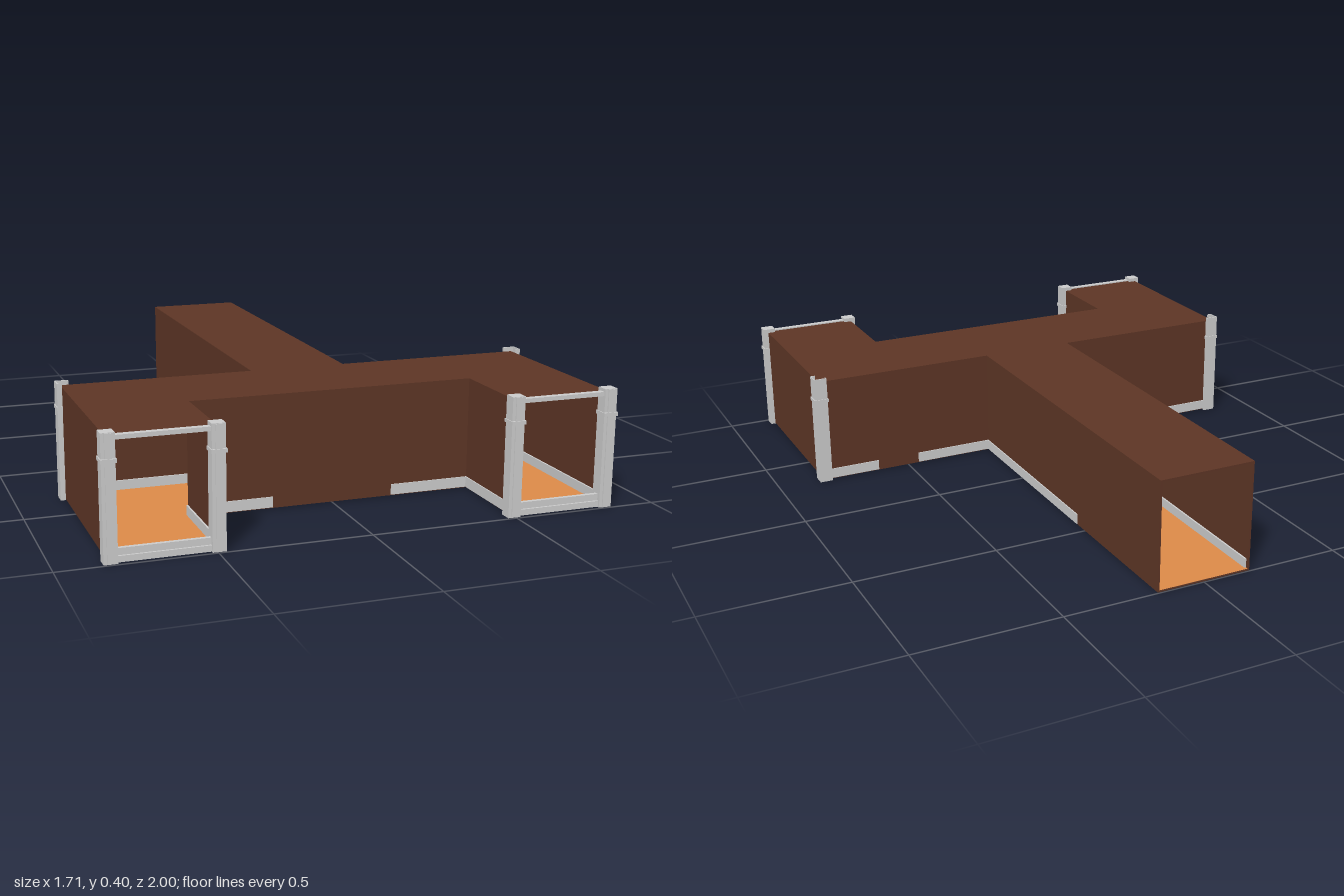
import * as THREE from 'three';

const mat = (color, side = THREE.FrontSide) => new THREE.MeshStandardMaterial({ color, side });
const GREY = mat(0xcccccc);
const BROWN = mat(0x5d3525);
const ORANGE = mat(0xdc8a48);
const GREEN = mat(0x556130);

// Right half of the floor plan as [x, z]; the left half is mirrored
const HALF = [[0.17, -1], [0.17, 0.308], [0.833, 0.308], [0.833, 0.98], [0.49, 0.98], [0.49, 0.655]];
const T = 0.006; // wall thickness
const H = 0.386; // roof height

export function createModel() {
  const root = new THREE.Group();

  // Box from its ranges on each axis
  const box = (parent, name, m, x0, x1, y0, y1, z0, z1) => {
    const mesh = new THREE.Mesh(new THREE.BoxGeometry(Math.abs(x1 - x0), y1 - y0, z1 - z0), m);
    mesh.position.set((x0 + x1) / 2, (y0 + y1) / 2, (z0 + z1) / 2);
    mesh.name = name;
    parent.add(mesh);
  };

  // Floor and roof slabs with coloured inner linings
  const plan = new THREE.Shape([...HALF, ...HALF.map(([x, z]) => [-x, z]).reverse()]
    .map(([x, z]) => new THREE.Vector2(x, -z)));
  const slab = (name, m, y, depth) => {
    const geo = new THREE.ExtrudeGeometry(plan, { depth, bevelEnabled: false }).rotateX(-Math.PI / 2);
    const mesh = new THREE.Mesh(geo, m);
    mesh.position.y = y;
    mesh.name = name;
    root.add(mesh);
  };
  slab('floorSlab', BROWN, 0.003, 0.005);
  slab('roof', BROWN, H - 0.005, 0.005);
  const lining = (name, m, y, up) => {
    const geo = new THREE.ShapeGeometry(plan).rotateX(-Math.PI / 2);
    if (!up) geo.rotateZ(Math.PI); // faces down; the plan is symmetric in x
    const mesh = new THREE.Mesh(geo, m);
    mesh.position.y = y;
    mesh.name = name;
    root.add(mesh);
  };
  lining('floorLining', ORANGE, 0.0095, true);
  lining('ceilingLining', GREEN, H - 0.0065, false);

  // Front wall of the cross corridor
  box(root, 'crossFrontWall', BROWN, -0.496, 0.496, 0.004, H - 0.001, 0.655 - T, 0.655);
  box(root, 'crossInnerSkirting', GREY, -0.49, 0.49, 0.008, 0.042, 0.655 - 2 * T, 0.655 - T);

  for (const s of [-1, 1]) {
    const side = new THREE.Group();
    side.name = s > 0 ? 'leftSide' : 'rightSide';
    root.add(side);
    const b = (name, m, x0, x1, ...r) => box(side, name, m, s * x0, s * x1, ...r);

    // Walls
    const wall = (name, x0, x1, z0, z1) => b(name, BROWN, x0, x1, 0.004, H - 0.001, z0, z1);
    wall('stemWall', 0.17 - T, 0.17, -1, 0.308);
    wall('crossBackWall', 0.17 - T, 0.833, 0.308, 0.308 + T);
    wall('legOuterWall', 0.833 - T, 0.833, 0.308, 0.98);
    wall('legInnerWall', 0.49, 0.49 + T, 0.65, 0.98);

    // Skirting strips, outside then inside
    const strip = (name, x0, x1, z0, z1) => b(name, GREY, x0, x1, 0.006, 0.042, z0, z1);
    strip('stemSkirting', 0.17, 0.174, -0.45, 0.308);
    strip('backSkirtingInner', 0.17, 0.46, 0.304, 0.308);
    strip('backSkirtingOuter', 0.62, 0.81, 0.304, 0.308);
    strip('frontSkirting', 0.21, 0.49, 0.655, 0.659);
    strip('legSkirting', 0.486, 0.49, 0.655, 0.96);
    strip('stemInnerSkirting', 0.17 - 2 * T, 0.17 - T, -0.99, 0.314);
    strip('crossInnerBackSkirting', 0.16, 0.827, 0.314, 0.32);
    strip('legOuterInnerSkirting', 0.821, 0.827, 0.314, 0.96);
    strip('legInnerInnerSkirting', 0.496, 0.502, 0.65, 0.96);

    // Doorway frame: posts with collars and ribs, sill and lintel
    for (const x of [0.495, 0.828]) {
      b('frontPost', GREY, x - 0.022, x + 0.022, 0, 0.4, 0.951, 0.993);
      b('postRib', GREY, x - 0.011, x + 0.011, 0.002, 0.398, 0.993, 0.997);
      b('postCollar', GREY, x - 0.025, x + 0.025, 0.31, 0.322, 0.947, 1);
    }
    b('sill', GREY, 0.51, 0.81, 0.002, 0.022, 0.964, 0.987);
    b('sillStep', GREY, 0.51, 0.81, 0.022, 0.044, 0.966, 0.98);
    b('lintel', GREY, 0.51, 0.81, 0.376, 0.39, 0.966, 0.987);

    // Channel-shaped corner post wrapped around the back corner, with its collar
    const corner = (name, o, y0, y1) => {
      b(name, GREY, 0.846 + o, 0.85 + o, y0, y1, 0.297 - o, 0.344 + o);
      b(name, GREY, 0.833, 0.85 + o, y0, y1, 0.34 + o, 0.344 + o);
      b(name, GREY, 0.804 - o, 0.85 + o, y0, y1, 0.297 - o, 0.301 - o);
      b(name, GREY, 0.804 - o, 0.808 - o, y0, y1, 0.297 - o, 0.308);
    };
    corner('backCornerPost', 0, 0, 0.4);
    corner('backCornerCollar', 0.003, 0.31, 0.322);
  }
  return root;
}
